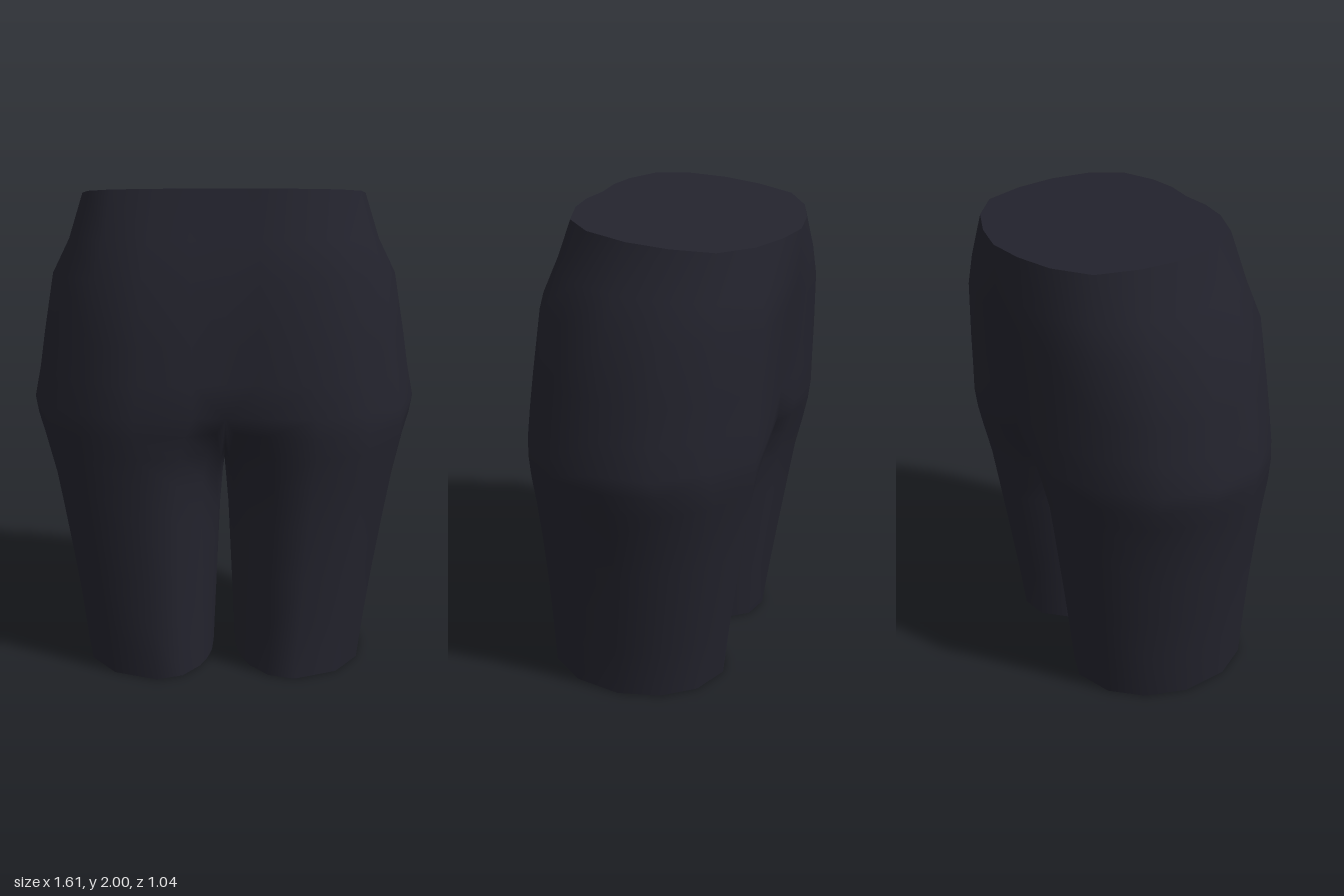
import * as THREE from 'three';
import { mergeVertices } from 'three/addons/utils/BufferGeometryUtils.js';

const lerp = THREE.MathUtils.lerp;

// Half outlines [x, z] from front centre, round the left side, to back centre
const WAIST = [[0, 0.32], [0.14, 0.33], [0.28, 0.315], [0.45, 0.26], [0.55, 0.15], [0.59, -0.02],
  [0.575, -0.18], [0.515, -0.34], [0.36, -0.44], [0.18, -0.495], [0, -0.52]];
const HIP = [[0, 0.48], [0.13, 0.487], [0.36, 0.515], [0.56, 0.43], [0.72, 0.27], [0.805, 0.05],
  [0.785, -0.18], [0.64, -0.36], [0.43, -0.485], [0.2, -0.475], [0, -0.455]];
// Underside between the legs [y, z], back to front
const CROTCH = [[0.95, -0.33], [0.88, -0.17], [0.865, 0.03], [0.89, 0.2], [0.98, 0.37]];
// Angle of each leg point, from front centre of the thigh outwards
const LEG_ANGLES = [-48, -25, 2, 35, 63, 93, 120, 146, 175, 203, 228, 241, 255, 270, 285, 298];
// Body levels: height, depth blend and width blend from waist (0) to hips (1)
const HIP_Y = 1.12;
const BODY = [[2, 0, 0], [1.8, 0.36, 0.27], [1.65, 0.66, 0.59], [1.4, 0.84, 0.78],
  [1.25, 0.94, 0.88], [HIP_Y, 1, 1]];

// Body ring with a tilted waist and a fuller seat
function bodyRing([y, depth, width]) {
  const seat = 1 + 0.055 * Math.sin(Math.PI * depth);
  return WAIST.map(([wx, wz], i) => {
    const x = lerp(wx, HIP[i][0], width);
    const z = lerp(wz, HIP[i][1], depth);
    return new THREE.Vector3(x, y + (z - 0.33) * 0.095 * (1 - depth), z < 0 ? z * seat : z);
  });
}

// Point on the oval thigh section at height y, its ridge set towards the inside
function legPoint(degrees, y) {
  const k = Math.min(1, y / HIP_Y), a = THREE.MathUtils.degToRad(degrees);
  const inner = lerp(0.048, 0.006, Math.min(1, y / 0.9));
  const outer = lerp(0.605, 0.80, Math.pow(k, 1.15));
  const ridge = lerp(0.275, 0.355, k);
  const front = lerp(0.465, 0.512, k * k * k), back = lerp(-0.33, -0.485, Math.pow(k, 1.08));
  const side = Math.sin(a) > 0 ? outer - ridge : ridge - inner;
  return new THREE.Vector3(ridge + Math.sin(a) * side, y,
    (front + back) / 2 + Math.cos(a) * (front - back) / 2);
}

// Leg rings, easing from the hip and crotch outline into the oval thigh
function legRings() {
  const start = [
    ...bodyRing(BODY[BODY.length - 1]),
    ...CROTCH.map(([y, z]) => new THREE.Vector3(0, y, z)),
  ];
  const steps = [[0, 0], [0.07, 0.4], [0.15, 0.75], [0.26, 1], [0.42, 1], [0.62, 1], [0.8, 1], [1, 1]];
  return steps.map(([s, blend]) => start.map((p, i) => {
    const y = lerp(p.y, 0, s);
    const q = legPoint(LEG_ANGLES[i], y);
    return new THREE.Vector3(lerp(p.x, q.x, blend), y, lerp(p.z, q.z, blend));
  }));
}

// Adds a triangle on the left side and its mirror on the right
function addTriangle(out, a, b, c) {
  for (const p of [a, b, c]) out.push(p.x, p.y, p.z);
  for (const p of [a, c, b]) out.push(p.x === 0 ? 0 : -p.x, p.y, p.z);
}

function loft(out, upper, lower, closed) {
  const n = upper.length;
  for (let i = 0; i < (closed ? n : n - 1); i++) {
    const j = (i + 1) % n;
    addTriangle(out, lower[i], lower[j], upper[j]);
    addTriangle(out, lower[i], upper[j], upper[i]);
  }
}

function toMesh(name, positions, material) {
  let geometry = new THREE.BufferGeometry();
  geometry.setAttribute('position', new THREE.Float32BufferAttribute(positions, 3));
  geometry = mergeVertices(geometry, 1e-4);
  geometry.computeVertexNormals();
  const mesh = new THREE.Mesh(geometry, material);
  mesh.name = name;
  return mesh;
}

export function createModel() {
  const group = new THREE.Group();
  group.name = 'shorts';
  const fabric = new THREE.MeshStandardMaterial({ color: 0x23232d, side: THREE.DoubleSide });
  fabric.name = 'dark navy fabric';

  // Smooth cloth: hips, seat and both open-ended legs in one skin
  const body = BODY.map(bodyRing);
  const legs = legRings();
  const skin = [];
  for (let i = 1; i < body.length; i++) loft(skin, body[i - 1], body[i], false);
  for (let i = 1; i < legs.length; i++) loft(skin, legs[i - 1], legs[i], true);
  group.add(toMesh('cloth', skin, fabric));

  // Flat closed waist
  const waist = [], top = body[0];
  const middle = new THREE.Vector3(0, (top[0].y + top[10].y) / 2, (top[0].z + top[10].z) / 2);
  for (let i = 0; i < 10; i++) addTriangle(waist, middle, top[i], top[i + 1]);
  group.add(toMesh('waistCap', waist, fabric));

  return group;
}
